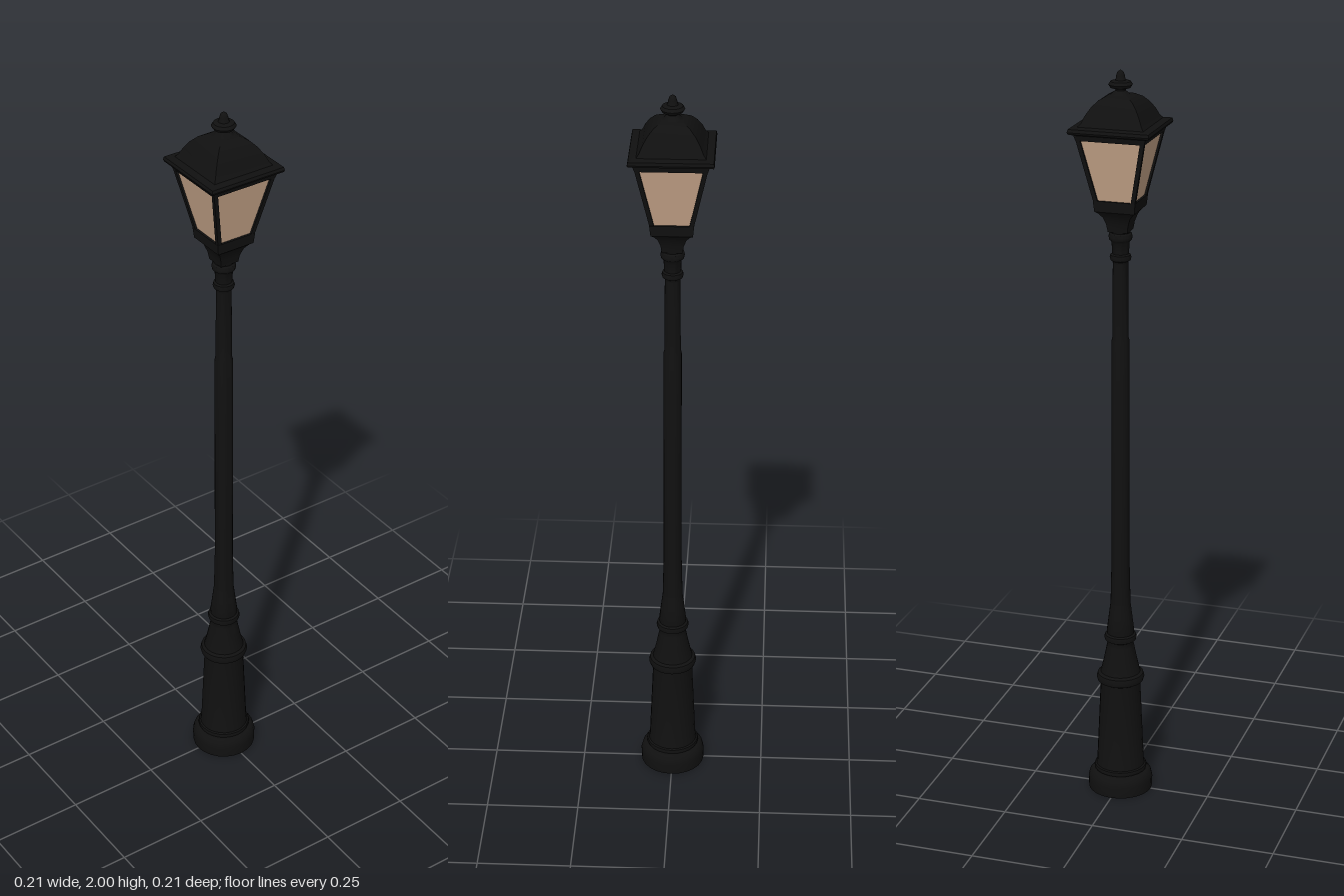
import * as THREE from 'three';
import { toCreasedNormals } from 'three/addons/utils/BufferGeometryUtils.js';

const iron = new THREE.MeshStandardMaterial({ color: 0x101010 });
iron.name = 'blackIron';
const glass = new THREE.MeshStandardMaterial({ color: 0xc9a78b, side: THREE.DoubleSide });
glass.name = 'warmGlass';

// Turned part from [radius, y] pairs, bottom to top
function turned(name, profile, segments = 24) {
  const points = profile.map(([r, y]) => new THREE.Vector2(r, y));
  const mesh = new THREE.Mesh(toCreasedNormals(new THREE.LatheGeometry(points, segments), 0.7), iron);
  mesh.name = name;
  return mesh;
}

// Square part from [halfWidth, y] pairs, bottom to top
function squared(name, profile) {
  const points = profile.map(([h, y]) => new THREE.Vector2(h * Math.SQRT2, y));
  const geometry = new THREE.LatheGeometry(points, 4, Math.PI / 4);
  const mesh = new THREE.Mesh(toCreasedNormals(geometry, 0.6), iron);
  mesh.name = name;
  return mesh;
}

// Rounded moulding ring as profile points
function bead(inner, outer, y, half) {
  return [-1, -0.7, 0, 0.7, 1].map((t) => [inner + (outer - inner) * Math.sqrt(1 - t * t), y + t * half]);
}

export function createModel() {
  const lamp = new THREE.Group();
  lamp.name = 'streetLamp';

  // Flared pedestal with foot and mouldings
  lamp.add(turned('pedestal', [
    [0, 0], [0.087, 0], [0.088, 0.03], [0.084, 0.045], [0.076, 0.053],
    ...bead(0.066, 0.072, 0.063, 0.008),
    [0.064, 0.08], [0.054, 0.315],
    ...bead(0.054, 0.065, 0.333, 0.015),
    [0.052, 0.355], [0.045, 0.385], [0.037, 0.425], [0.035, 0.435],
    ...bead(0.036, 0.044, 0.45, 0.011),
    [0.037, 0.47], [0.032, 0.51], [0.027, 0.55],
  ]));

  // Slender pole, stepped slightly at the joint
  lamp.add(turned('pole', [[0.027, 0.55], [0.0245, 0.66], [0.0235, 1.29], [0.021, 1.3], [0.02, 1.5]]));

  // Collar below the lantern
  lamp.add(turned('collar', [
    [0.02, 1.5], ...bead(0.021, 0.028, 1.515, 0.01),
    [0.022, 1.53], [0.023, 1.555],
    ...bead(0.025, 0.031, 1.57, 0.011),
    [0.026, 1.585], [0.029, 1.615], [0.02, 1.63],
  ]));

  // Square bowl carrying the lantern
  lamp.add(squared('lanternBowl', [
    [0, 1.585], [0.026, 1.585], [0.029, 1.605], [0.036, 1.625], [0.046, 1.638],
    [0.053, 1.643], [0.056, 1.672], [0, 1.672],
  ]));

  // Four sloping panes and corner posts
  const lowY = 1.668, highY = 1.838, low = 0.052, high = 0.088;
  const up = new THREE.Vector3(0, 1, 0);
  for (let i = 0; i < 4; i++) {
    const side = new THREE.Group();
    side.name = 'lanternSide';
    side.rotation.y = i * Math.PI / 2;

    const pane = new THREE.PlaneGeometry(1, 1);
    const p = pane.attributes.position;
    for (let v = 0; v < p.count; v++) {
      const top = p.getY(v) > 0;
      const h = (top ? high : low) - 0.003;
      p.setXYZ(v, Math.sign(p.getX(v)) * h, top ? highY : lowY, h);
    }
    pane.computeVertexNormals();
    const paneMesh = new THREE.Mesh(pane, glass);
    paneMesh.name = 'glassPane';
    side.add(paneMesh);

    const a = new THREE.Vector3(low - 0.003, lowY, low - 0.003);
    const b = new THREE.Vector3(high - 0.003, highY, high - 0.003);
    const post = new THREE.Mesh(new THREE.BoxGeometry(0.011, a.distanceTo(b), 0.011), iron);
    post.name = 'cornerPost';
    post.position.copy(a).add(b).multiplyScalar(0.5);
    post.quaternion.setFromUnitVectors(up, b.clone().sub(a).normalize());
    side.add(post);
    lamp.add(side);
  }

  // Square eaves and domed roof
  lamp.add(squared('roof', [
    [0, 1.832], [0.09, 1.832], [0.094, 1.846], [0.105, 1.85], [0.107, 1.855], [0.105, 1.863],
    [0.086, 1.866], [0.079, 1.875], [0.071, 1.893], [0.059, 1.912],
    [0.045, 1.927], [0.028, 1.937], [0, 1.941],
  ]));

  // Finial with ball and spike
  lamp.add(turned('finial', [
    [0.03, 1.934], [0.02, 1.942], [0.013, 1.948],
    ...bead(0.014, 0.031, 1.963, 0.011),
    [0.012, 1.978], [0.011, 1.985], [0.008, 1.994], [0, 2],
  ], 16));

  return lamp;
}
